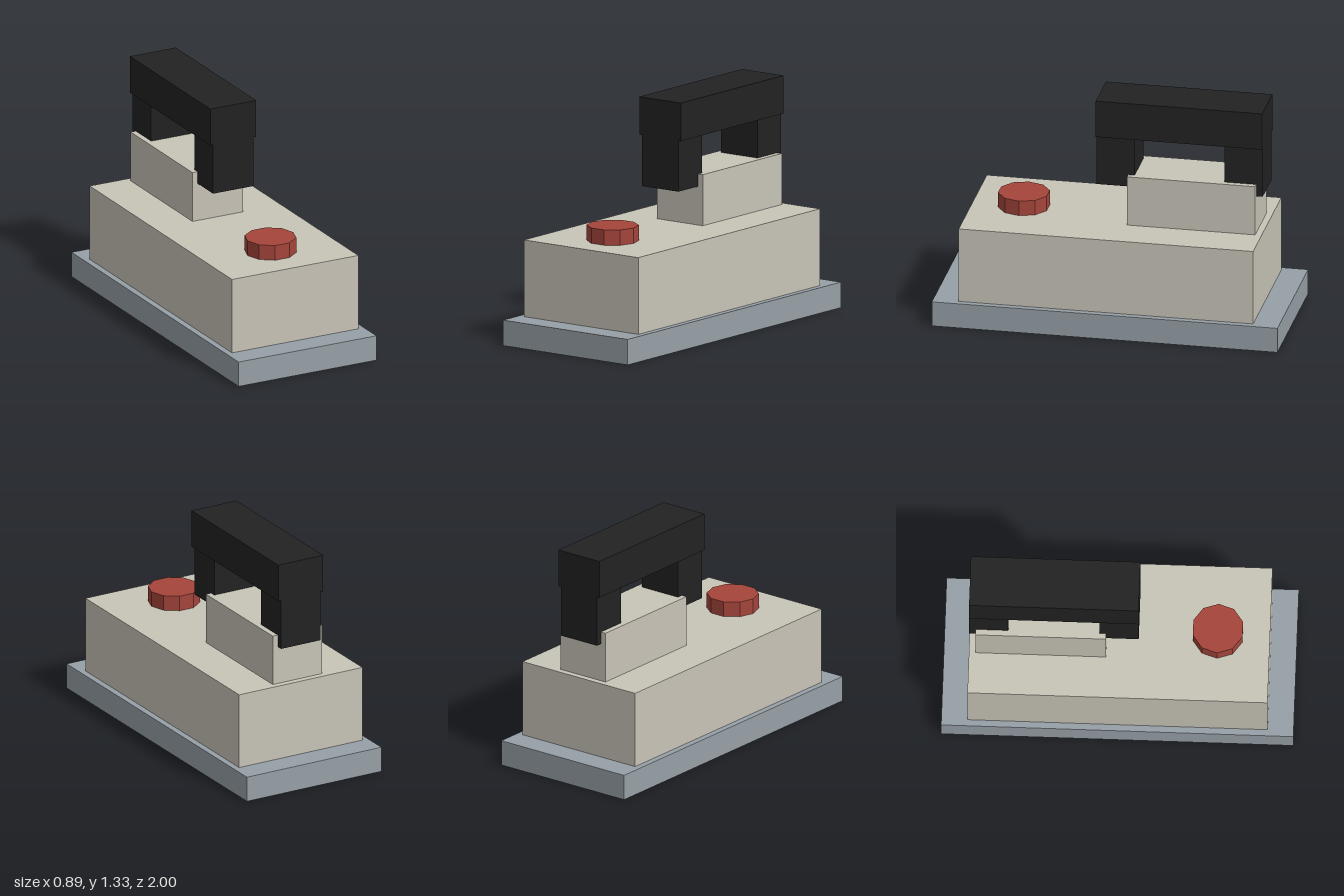
import * as THREE from 'three';

const paint = (name, color) => {
  const m = new THREE.MeshStandardMaterial({ color });
  m.name = name;
  return m;
};

export function createModel() {
  const model = new THREE.Group();
  model.name = 'handledDevice';

  const cream = paint('cream', 0xc8c4b8);
  const greyBlue = paint('greyBlue', 0x97a0a7);
  const black = paint('black', 0x222222);
  const red = paint('red', 0xa5453b);
  red.flatShading = true;

  // Box centred on x = 0, given its half width and its y and z ranges
  const block = (name, material, halfW, [y0, y1], [z0, z1]) => {
    const mesh = new THREE.Mesh(new THREE.BoxGeometry(halfW * 2, y1 - y0, z1 - z0), material);
    mesh.name = name;
    mesh.position.set(0, (y0 + y1) / 2, (z0 + z1) / 2);
    model.add(mesh);
  };

  // Base plate, housing and raised block
  block('basePlate', greyBlue, 0.444, [0, 0.148], [-1, 1]);
  block('housing', cream, 0.407, [0.148, 0.593], [-0.852, 0.852]);
  block('raisedBlock', cream, 0.163, [0.593, 0.889], [-0.815, -0.074]);

  // Handle: grip bar on two posts
  block('handleGrip', black, 0.148, [1.113, 1.333], [-0.852, 0.111]);
  block('frontHandlePost', black, 0.13, [0.817, 1.113], [-0.111, 0.111]);
  block('backHandlePost', black, 0.13, [0.817, 1.113], [-0.852, -0.63]);

  // Ten-sided push button with corners pointing left and right
  const button = new THREE.Mesh(new THREE.CylinderGeometry(0.148, 0.148, 0.089, 10), red);
  button.name = 'pushButton';
  button.rotation.y = Math.PI / 2;
  button.position.set(0, 0.6375, 0.556);
  model.add(button);

  return model;
}
